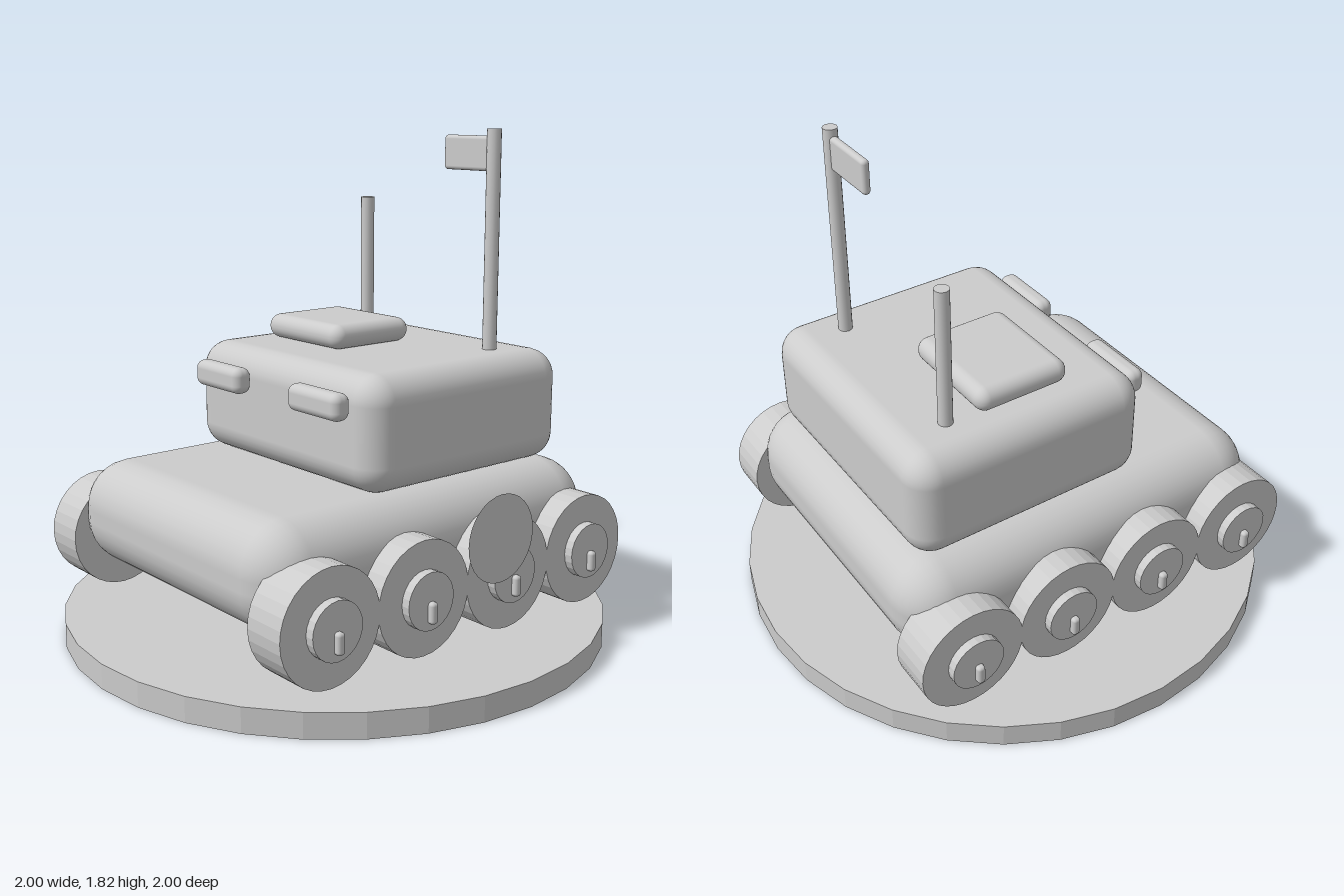
import * as THREE from 'three';
import { RoundedBoxGeometry } from 'three/addons/geometries/RoundedBoxGeometry.js';

export function createModel() {
  const model = new THREE.Group();
  model.name = 'tankOnStand';
  const grey = new THREE.MeshStandardMaterial({ color: 0xcccccc });
  grey.name = 'lightGrey';

  const add = (parent, name, geometry, x, y, z) => {
    const mesh = new THREE.Mesh(geometry, grey);
    mesh.name = name;
    mesh.position.set(x, y, z);
    parent.add(mesh);
    return mesh;
  };

  // Rounded block given by its limits on each axis
  const block = (parent, name, [x0, x1], [y0, y1], [z0, z1], radius, segments = 4) =>
    add(parent, name, new RoundedBoxGeometry(x1 - x0, y1 - y0, z1 - z0, segments, radius),
      (x0 + x1) / 2, (y0 + y1) / 2, (z0 + z1) / 2);

  // Cylinder with flat facets
  const faceted = (radius, length, sides) => {
    const g = new THREE.CylinderGeometry(radius, radius, length, sides).toNonIndexed();
    g.computeVertexNormals();
    return g;
  };

  // Round stand
  add(model, 'stand', faceted(1, 0.09, 32), 0, 0.045, 0);

  // Body
  block(model, 'hull', [-0.62, 0.62], [0.24, 0.625], [-0.755, 0.755], 0.17);
  block(model, 'turret', [-0.515, 0.515], [0.62, 1.03], [-0.67, 0.26], 0.1);
  block(model, 'hatch', [-0.385, 0.04], [1.03, 1.12], [-0.345, 0.02], 0.044);

  // Vision blocks on the turret front
  for (const s of [-1, 1]) {
    const x = s * 0.277;
    block(model, 'visionBlock', [x - 0.135, x + 0.135], [0.88, 0.975], [0.262, 0.335], 0.03);
  }

  // Road wheels, each with a hub and a small bolt
  const tyre = faceted(0.2, 0.165, 32).rotateZ(Math.PI / 2);
  const hub = faceted(0.1, 0.05, 24).rotateZ(Math.PI / 2);
  const bolt = new RoundedBoxGeometry(0.04, 0.075, 0.03, 3, 0.012);
  for (const s of [-1, 1]) {
    for (let i = 0; i < 4; i++) {
      const wheel = new THREE.Group();
      wheel.name = 'wheel';
      wheel.position.set(s * 0.62, 0.33, 0.59 - i * 0.393);
      add(wheel, 'tyre', tyre, 0, 0, 0);
      add(wheel, 'hub', hub, s * 0.09, 0, 0);
      add(wheel, 'bolt', bolt, s * 0.117, -0.037, 0);
      model.add(wheel);
    }
  }

  // Flat round marker on the left side
  add(model, 'sideMarker', new THREE.CircleGeometry(0.155, 32), 0.745, 0.48, -0.113)
    .rotation.y = Math.PI / 2;

  // Antenna, and flag on its pole
  add(model, 'antenna', new THREE.CylinderGeometry(0.026, 0.026, 0.525, 16), -0.335, 1.2825, -0.45);
  add(model, 'flagPole', new THREE.CylinderGeometry(0.026, 0.026, 0.8, 16), 0.345, 1.42, -0.45);
  block(model, 'flag', [0.105, 0.335], [1.67, 1.795], [-0.465, -0.435], 0.014);

  return model;
}
